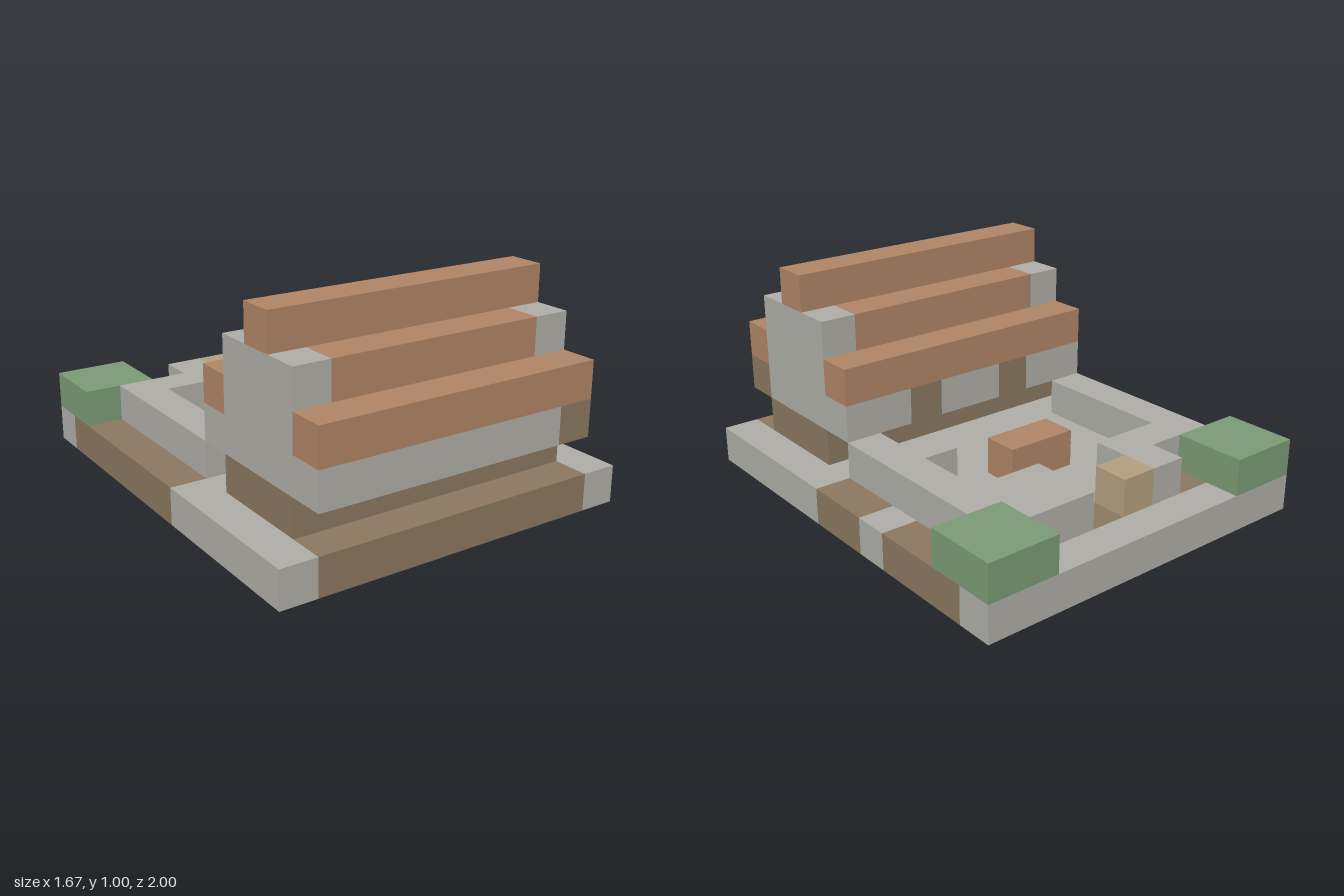
import * as THREE from 'three';
import { mergeGeometries } from 'three/addons/utils/BufferGeometryUtils.js';

const U = 1 / 6; // edge of one block; the plot is 10 blocks wide and 12 deep

const material = (name, color) =>
  new THREE.MeshStandardMaterial({ name, color, side: THREE.DoubleSide });

// Outer faces of a part's blocks; the shell is open underneath
function shell(blocks, grid) {
  const faces = [];
  const centre = new THREE.Vector3();
  for (const block of blocks) {
    for (const axis of ['x', 'y', 'z']) {
      for (const sign of [-1, 1]) {
        const next = block.clone();
        next[axis] += sign;
        if (next.y < 0 || grid.has(next.toArray().join())) continue;
        const face = new THREE.PlaneGeometry(U, U);
        if (axis === 'x') face.rotateY(sign * Math.PI / 2);
        else if (axis === 'y') face.rotateX(-sign * Math.PI / 2);
        else if (sign < 0) face.rotateY(Math.PI);
        centre.addVectors(block, next).multiplyScalar(U / 2);
        face.translate(centre.x - 4.5 * U, centre.y + U / 2, centre.z - 5.5 * U);
        faces.push(face);
      }
    }
  }
  return mergeGeometries(faces);
}

export function createModel() {
  const stone = material('stone grey', 0xafaea7);
  const wood = material('dark brown', 0x8b7860);
  const clay = material('roof clay', 0xb08566);
  const leaf = material('leaf green', 0x7b9b76);
  const sand = material('sand', 0xb4a07f);

  // Grid of blocks, counted from the right back corner; later parts replace earlier ones
  const grid = new Map();
  const parts = [];
  const part = (name, mat) => {
    const p = { name, mat };
    parts.push(p);
    return p;
  };
  const fill = (p, x0, x1, y, z0, z1 = z0) => {
    for (let x = x0; x <= x1; x++)
      for (let z = z0; z <= z1; z++)
        grid.set([x, y, z].join(), { p, block: new THREE.Vector3(x, y, z) });
  };
  const span = (p, half, y, z0, z1) => fill(p, 5 - half, 4 + half, y, z0, z1);
  const pair = (p, x0, x1, y, z0, z1) => {
    fill(p, x0, x1, y, z0, z1);
    fill(p, 9 - x1, 9 - x0, y, z0, z1);
  };

  // Ground slab with brown edging and worn patches
  span(part('groundSlab', stone), 5, 0, 0, 11);
  span(part('frontEdging', wood), 4, 0, 11);
  const sideEdging = part('sideEdging', wood);
  pair(sideEdging, 0, 0, 0, 1, 3);
  pair(sideEdging, 0, 0, 0, 5, 6);
  fill(sideEdging, 0, 0, 0, 4);
  const yardPatches = part('yardPatches', wood);
  fill(yardPatches, 2, 2, 0, 1);
  fill(yardPatches, 5, 5, 0, 1);
  fill(yardPatches, 2, 2, 0, 3);
  fill(yardPatches, 3, 3, 0, 5);

  // Low wall around the yard, with a gate at the back
  const yardWall = part('yardWall', stone);
  pair(yardWall, 1, 1, 1, 2, 6);
  pair(yardWall, 2, 3, 1, 2);
  fill(yardWall, 3, 3, 1, 1);
  fill(yardWall, 6, 7, 1, 1);
  fill(yardWall, 7, 7, 1, 5);
  fill(part('gateBlock', sand), 4, 4, 1, 1);
  pair(part('bushes', leaf), 0, 1, 1, 0, 1);
  span(part('yardTable', clay), 1, 1, 4);

  // House: recessed plinth and jutting upper storey with brown patches
  span(part('housePlinth', wood), 4, 1, 8, 10);
  span(part('houseWalls', stone), 4, 2, 7, 11);
  const wallPatches = part('wallPatches', wood);
  fill(wallPatches, 8, 8, 2, 11);
  pair(wallPatches, 3, 3, 2, 7);

  // Stepped roof between stone gables
  const roof = part('roof', clay);
  for (let step = 0; step < 3; step++) span(roof, 4, 3 + step, 7 + step, 11 - step);
  const gables = part('gables', stone);
  for (const y of [3, 4]) pair(gables, 1, 1, y, 8, 10);

  const model = new THREE.Group();
  model.name = 'blockHouse';
  const cells = [...grid.values()];
  for (const p of parts) {
    const blocks = cells.filter((c) => c.p === p).map((c) => c.block);
    const mesh = new THREE.Mesh(shell(blocks, grid), p.mat);
    mesh.name = p.name;
    model.add(mesh);
  }
  return model;
}
